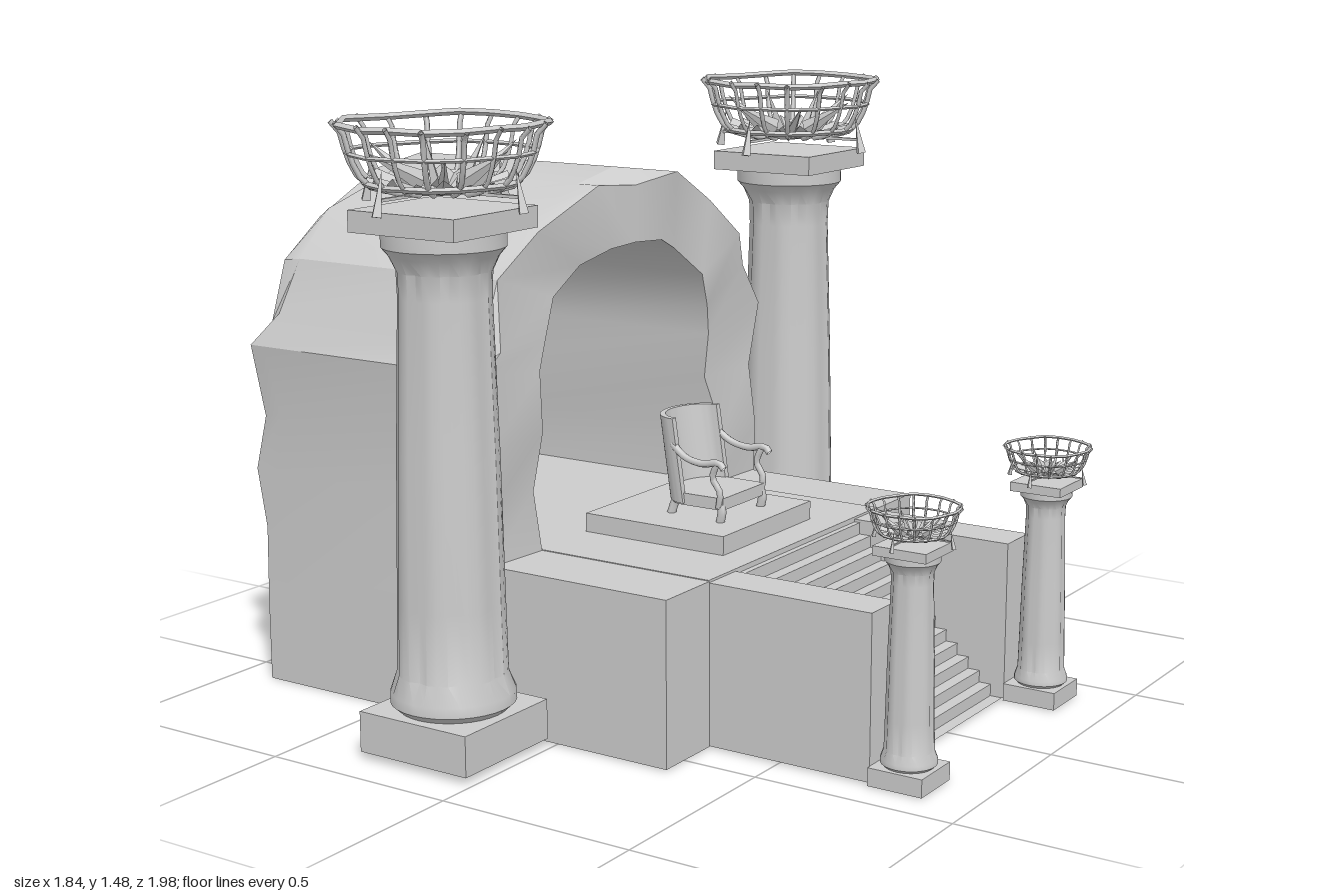
import * as THREE from 'three';
import { toCreasedNormals } from 'three/addons/utils/BufferGeometryUtils.js';

const stone = new THREE.MeshStandardMaterial({ color: 0xcccccc, side: THREE.DoubleSide });
const rough = new THREE.MeshStandardMaterial({ color: 0xcccccc, side: THREE.DoubleSide, flatShading: true });

// repeatable value in -1..1
const noise = (n) => {
  const s = Math.sin(n * 127.1 + 3.7) * 43758.5453;
  return (s - Math.floor(s)) * 2 - 1;
};

function add(parent, name, geometry, material = stone) {
  const mesh = new THREE.Mesh(geometry, material);
  mesh.name = name;
  parent.add(mesh);
  return mesh;
}

// box given by its limits
function box(parent, name, x0, x1, y0, y1, z0, z1) {
  const mesh = add(parent, name, new THREE.BoxGeometry(x1 - x0, y1 - y0, z1 - z0));
  mesh.position.set((x0 + x1) / 2, (y0 + y1) / 2, (z0 + z1) / 2);
  return mesh;
}

function tube(parent, name, points, radius, sides = 6, steps = 8) {
  const curve = new THREE.CatmullRomCurve3(points.map((p) => new THREE.Vector3(...p)));
  return add(parent, name, new THREE.TubeGeometry(curve, steps, radius, sides));
}

// ring with an uneven, hammered outline
function raggedRing(parent, name, radius, y, thick, jitter) {
  const pts = [];
  for (let i = 0; i < 18; i++) {
    const a = (i / 18) * Math.PI * 2, r = radius + jitter * noise(i + radius * 50);
    pts.push(new THREE.Vector3(Math.cos(a) * r, y + jitter * 0.6 * noise(i + 40), Math.sin(a) * r));
  }
  const path = new THREE.CatmullRomCurve3(pts, true, 'catmullrom', 0.1);
  add(parent, name, new THREE.TubeGeometry(path, 36, thick, 4, true), rough);
}

function fireBasket() {
  const g = new THREE.Group();
  g.name = 'fireBasket';
  raggedRing(g, 'basketRim', 0.234, 0.163, 0.008, 0.007);
  raggedRing(g, 'basketMiddleRing', 0.213, 0.1, 0.005, 0.003);
  raggedRing(g, 'basketLowerRing', 0.172, 0.032, 0.007, 0.003);
  // curved upright bars
  const bars = 18;
  for (let i = 0; i < bars; i++) {
    const bar = tube(g, 'basketBar', [[0.1, 0.012, 0], [0.17, 0.03, 0], [0.206, 0.085, 0],
      [0.225, 0.15, 0], [0.243, 0.166 + 0.006 * noise(i), 0]], 0.0065, 4, 7);
    bar.rotation.y = (i / bars) * Math.PI * 2 + 0.05 * noise(i + 9);
  }
  // shallow bed of split logs, as a ridged fan
  const bed = new THREE.CircleGeometry(0.17, 36).rotateX(-Math.PI / 2);
  const p = bed.attributes.position;
  for (let i = 1; i < p.count; i++) {
    const k = (i - 1) % 36;
    p.setY(i, 0.026 + 0.022 * (k % 2) + 0.008 * noise(k));
  }
  add(g, 'logBed', bed, rough);
  // split logs leaning outward
  for (let i = 0; i < 7; i++) {
    const log = add(g, 'log', new THREE.ConeGeometry(0.024, 0.15, 4).scale(1, 1, 0.5), rough);
    const holder = new THREE.Group();
    log.position.set(0.115, 0.07, 0);
    log.rotation.z = -0.85 + 0.25 * noise(i);
    holder.rotation.y = (i / 7) * Math.PI * 2 + 0.2 * noise(i + 3);
    holder.add(log);
    g.add(holder);
  }
  // spokes carrying pointed feet
  for (let i = 0; i < 4; i++) {
    const arm = new THREE.Group();
    arm.name = 'basketFoot';
    arm.rotation.y = (i * Math.PI) / 2;
    box(arm, 'spoke', 0, 0.215, 0.008, 0.015, -0.005, 0.005);
    const foot = add(arm, 'foot', new THREE.ConeGeometry(0.014, 0.1, 4), rough);
    foot.position.set(0.215, 0.025, 0);
    foot.rotation.z = 0.2;
    g.add(arm);
  }
  return g;
}

function column(name, x, y, z, scale) {
  const g = new THREE.Group();
  g.name = name;
  box(g, 'columnBase', -0.155, 0.155, 0, 0.098, -0.153, 0.153);
  box(g, 'columnCap', -0.15, 0.15, 1.21, 1.26, -0.15, 0.15);
  // worn shaft with swelling foot and flared top
  const profile = [[0.125, 0.095], [0.147, 0.115], [0.146, 0.14], [0.128, 0.185], [0.124, 0.35],
    [0.117, 0.7], [0.106, 1.06], [0.108, 1.12], [0.125, 1.155], [0.142, 1.175], [0.142, 1.21]];
  const shaft = new THREE.LatheGeometry(profile.map((p) => new THREE.Vector2(...p)), 32);
  const p = shaft.attributes.position;
  for (let i = 0; i < p.count; i++) {
    const yy = p.getY(i);
    if (yy < 0.17 || yy > 1.13) continue;
    const k = Math.round(Math.atan2(p.getZ(i), p.getX(i)) / (Math.PI / 16) + 32) % 32;
    const s = 1 + (k % 4 === 0 ? -0.05 : 0.012) + 0.01 * noise(k);
    p.setX(i, p.getX(i) * s);
    p.setZ(i, p.getZ(i) * s);
  }
  shaft.computeVertexNormals();
  add(g, 'columnShaft', toCreasedNormals(shaft, 0.6));
  const basket = fireBasket();
  basket.position.y = 1.286;
  g.add(basket);
  g.position.set(x, y, z);
  g.scale.setScalar(scale);
  return g;
}

// rough vault: outer and inner outlines [z, y] joined across its length
function vault() {
  const outer = [[0.585, 0], [0.585, 0.2], [0.585, 0.4], [0.59, 0.55], [0.595, 0.7], [0.613, 0.87],
    [0.575, 0.95], [0.52, 1.08], [0.38, 1.19], [0.14, 1.265], [0, 1.295], [-0.18, 1.27], [-0.39, 1.19],
    [-0.5, 1.1], [-0.545, 0.98], [-0.61, 0.87], [-0.585, 0.7], [-0.59, 0.55], [-0.585, 0.4], [-0.585, 0.2], [-0.585, 0]];
  const inner = [[0.4, 0], [0.4, 0.2], [0.4, 0.4], [0.4, 0.55], [0.4, 0.7], [0.405, 0.85],
    [0.37, 0.92], [0.3, 1.01], [0.2, 1.075], [0.1, 1.105], [0, 1.11], [-0.1, 1.105], [-0.2, 1.07],
    [-0.3, 0.99], [-0.35, 0.9], [-0.365, 0.82], [-0.37, 0.7], [-0.395, 0.55], [-0.4, 0.4], [-0.4, 0.2], [-0.4, 0]];
  const n = outer.length, pos = [], idx = [];
  // loops run: inner back, chipped outer back, outer back, outer front, chipped outer front, inner front
  for (let i = 0; i < n; i++) {
    const [z, y] = outer[i], [iz, iy] = inner[i];
    const up = y > 0.5 ? 1 : 0.25;
    const chip = (k) => 1 - 0.035 * up * Math.max(0, noise(i * 3 + k));
    const b = -0.893 + 0.025 * up * noise(i + 5), f = -0.18 + 0.02 * up * noise(i + 21);
    const c0 = chip(1), c1 = chip(2);
    pos.push(b + 0.012 * noise(i + 60), iy, iz, b, y * c0, z * c0, b + 0.06 + 0.02 * noise(i), y, z,
      f - 0.05 - 0.02 * noise(i + 2), y, z, f, y * c1, z * c1, f - 0.012 * noise(i + 70), iy, iz);
  }
  for (let i = 0; i < n - 1; i++) {
    for (let j = 0; j < 6; j++) {
      const a = i * 6 + j, b = i * 6 + ((j + 1) % 6);
      idx.push(a, b, b + 6, a, b + 6, a + 6);
    }
  }
  const geo = new THREE.BufferGeometry();
  geo.setAttribute('position', new THREE.Float32BufferAttribute(pos, 3));
  geo.setIndex(idx);
  return toCreasedNormals(geo, 0.5);
}

function throne() {
  const g = new THREE.Group();
  g.name = 'throne';
  // curved backrest, leaning back toward the top
  const shape = new THREE.Shape();
  shape.absarc(0, 0, 0.108, Math.PI * 0.5, Math.PI * 1.5, false);
  shape.absarc(0, 0, 0.092, Math.PI * 1.5, Math.PI * 0.5, true);
  const back = new THREE.ExtrudeGeometry(shape, { depth: 0.21, bevelEnabled: false, curveSegments: 16 });
  back.rotateX(-Math.PI / 2);
  const p = back.attributes.position;
  for (let i = 0; i < p.count; i++) p.setX(i, p.getX(i) * 0.75 + 0.045 - 0.15 * p.getY(i));
  back.computeVertexNormals();
  add(g, 'backrest', toCreasedNormals(back, 0.6)).position.y = 0.49;
  // seat rounded at the rear
  const seat = new THREE.Shape();
  seat.moveTo(0.155, -0.098);
  seat.lineTo(0.155, 0.098);
  seat.lineTo(0.04, 0.1);
  seat.absellipse(0.04, 0, 0.075, 0.1, Math.PI / 2, Math.PI * 1.5, false);
  const seatGeo = new THREE.ExtrudeGeometry(seat, { depth: 0.03, bevelEnabled: false }).rotateX(-Math.PI / 2);
  add(g, 'seat', seatGeo).position.y = 0.485;
  for (const s of [-1, 1]) {
    tube(g, 'armrest', [[0.01, 0.635, s * 0.1], [0.05, 0.608, s * 0.105], [0.1, 0.598, s * 0.106],
      [0.15, 0.605, s * 0.106], [0.163, 0.592, s * 0.106]], 0.009, 8, 12);
    tube(g, 'armPost', [[0.14, 0.6, s * 0.104], [0.128, 0.565, s * 0.102], [0.148, 0.53, s * 0.1], [0.143, 0.49, s * 0.098]], 0.008);
    tube(g, 'frontLeg', [[0.145, 0.5, s * 0.092], [0.15, 0.48, s * 0.094], [0.145, 0.453, s * 0.094]], 0.011);
    tube(g, 'rearLeg', [[0.01, 0.5, s * 0.075], [0.0, 0.48, s * 0.077], [-0.008, 0.453, s * 0.08]], 0.011);
  }
  return g;
}

export function createModel() {
  const g = new THREE.Group();
  // platform and plinth
  box(g, 'platform', -0.88, 0.31, 0.005, 0.408, -0.4, 0.4);
  box(g, 'thronePlinth', -0.18, 0.225, 0.408, 0.455, -0.205, 0.205);
  for (const s of [-1, 1]) {
    box(g, 'platformSide', -0.28, 0.312, 0.003, 0.406, s * 0.49 - 0.09, s * 0.49 + 0.09);
    box(g, 'stairWall', 0.31, 0.74, 0.005, 0.402, s * 0.342 - 0.058, s * 0.342 + 0.058);
    g.add(column('largeColumn', -0.17, 0.017, s * 0.747, 1));
    g.add(column('smallColumn', 0.81, 0.002, s * 0.345, 0.443));
  }
  // flight of steps with a sloping underside
  const steps = 13, run = 0.41 / steps, rise = 0.39 / steps;
  const side = new THREE.Shape();
  side.moveTo(0.31, 0.36);
  side.lineTo(0.31, 0.395);
  for (let i = 0; i < steps; i++) {
    side.lineTo(0.325 + i * run, 0.395 - i * rise);
    side.lineTo(0.325 + i * run, 0.395 - (i + 1) * rise);
  }
  side.lineTo(0.735, 0.005);
  side.lineTo(0.69, 0.005);
  add(g, 'stairs', new THREE.ExtrudeGeometry(side, { depth: 0.57, bevelEnabled: false })).position.z = -0.285;
  add(g, 'rockVault', vault());
  g.add(throne());
  return g;
}
